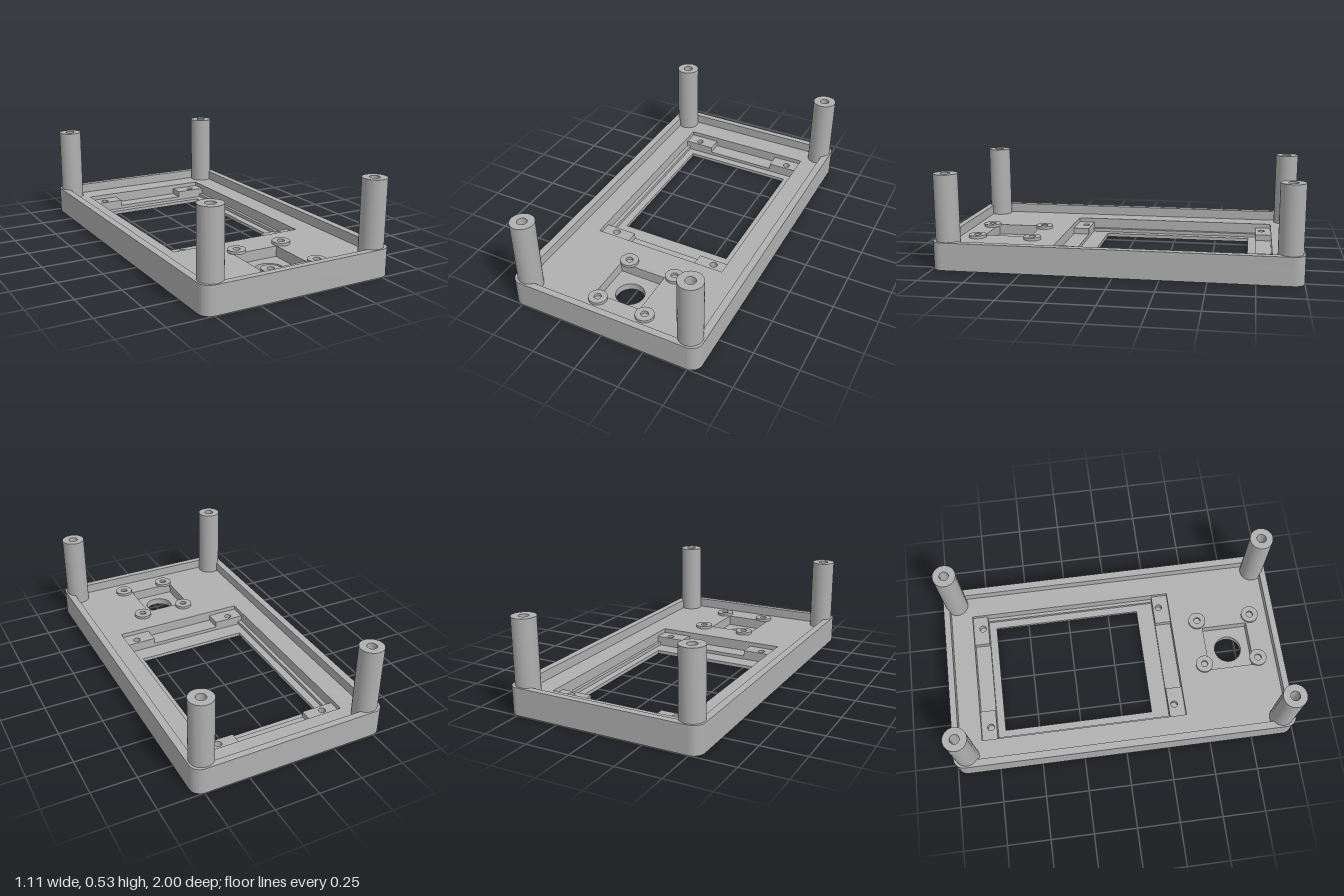
import * as THREE from 'three';
import { toCreasedNormals } from 'three/addons/utils/BufferGeometryUtils.js';

// Shapes are drawn in plan: shape x = world x, shape y = world z.
function rect(x0, z0, x1, z1, Type = THREE.Path) {
  const p = new Type();
  p.moveTo(x0, z0);
  p.lineTo(x1, z0);
  p.lineTo(x1, z1);
  p.lineTo(x0, z1);
  p.closePath();
  return p;
}

function circle(x, z, r, Type = THREE.Path) {
  const p = new Type();
  p.absarc(x, z, r, 0, Math.PI * 2, false);
  return p;
}

function roundedRect(w, d, r) {
  const s = new THREE.Shape();
  s.absarc(w - r, d - r, r, 0, Math.PI / 2);
  s.absarc(-w + r, d - r, r, Math.PI / 2, Math.PI);
  s.absarc(-w + r, -d + r, r, Math.PI, Math.PI * 1.5);
  s.absarc(w - r, -d + r, r, Math.PI * 1.5, Math.PI * 2);
  s.closePath();
  return s;
}

export function createModel() {
  const group = new THREE.Group();
  const grey = new THREE.MeshStandardMaterial({ color: 0xb0b0b0 });
  grey.name = 'plain grey';

  // Extrudes a plan shape with holes between two heights.
  function slab(name, shape, holes, y0, y1) {
    shape.holes.push(...holes);
    const geo = new THREE.ExtrudeGeometry(shape, { depth: y1 - y0, bevelEnabled: false, curveSegments: 20 });
    geo.rotateX(Math.PI / 2);
    geo.translate(0, y1, 0);
    const mesh = new THREE.Mesh(toCreasedNormals(geo, 0.6), grey);
    mesh.name = name;
    group.add(mesh);
  }

  const outline = () => roundedRect(0.557, 1, 0.06);
  const FLOOR = 0.1;

  // Cover plate in layers, each opening wider than the one below
  slab('facePlate', outline(), [rect(-0.33, -0.7, 0.33, 0.18), circle(0, 0.7, 0.08)], 0, 0.02);
  slab('screenLedge', outline(), [rect(-0.373, -0.745, 0.373, 0.28), circle(0, 0.7, 0.08)], 0.02, 0.04);
  slab('floor', outline(), [rect(-0.395, -0.835, 0.392, 0.375), rect(-0.137, 0.56, 0.135, 0.83)], 0.04, FLOOR);
  slab('rim', outline(), [rect(-0.515, -0.963, 0.515, 0.963)], FLOOR, 0.155);

  // Screen mounting pads in the corners of the recess
  for (const [z0, z1, hz] of [[-0.835, -0.745, -0.78], [0.28, 0.375, 0.315]]) {
    slab('screenPadRight', rect(-0.395, z0, -0.213, z1, THREE.Shape), [circle(-0.315, hz, 0.02)], 0.04, 0.075);
    slab('screenPadLeft', rect(0.213, z0, 0.392, z1, THREE.Shape), [circle(0.315, hz, 0.02)], 0.04, 0.075);
  }

  // Low bosses around the control opening
  for (const x of [-0.1, 0.183]) {
    for (const z of [0.532, 0.86]) {
      slab('controlBoss', circle(x, z, 0.051, THREE.Shape), [circle(x, z, 0.02)], FLOOR, FLOOR + 0.016);
    }
  }

  // Tall hollow corner posts
  for (const x of [-0.481, 0.481]) {
    for (const z of [-0.924, 0.924]) {
      slab('cornerPost', circle(x, z, 0.067, THREE.Shape), [circle(x, z, 0.027)], FLOOR, 0.526);
    }
  }
  return group;
}
